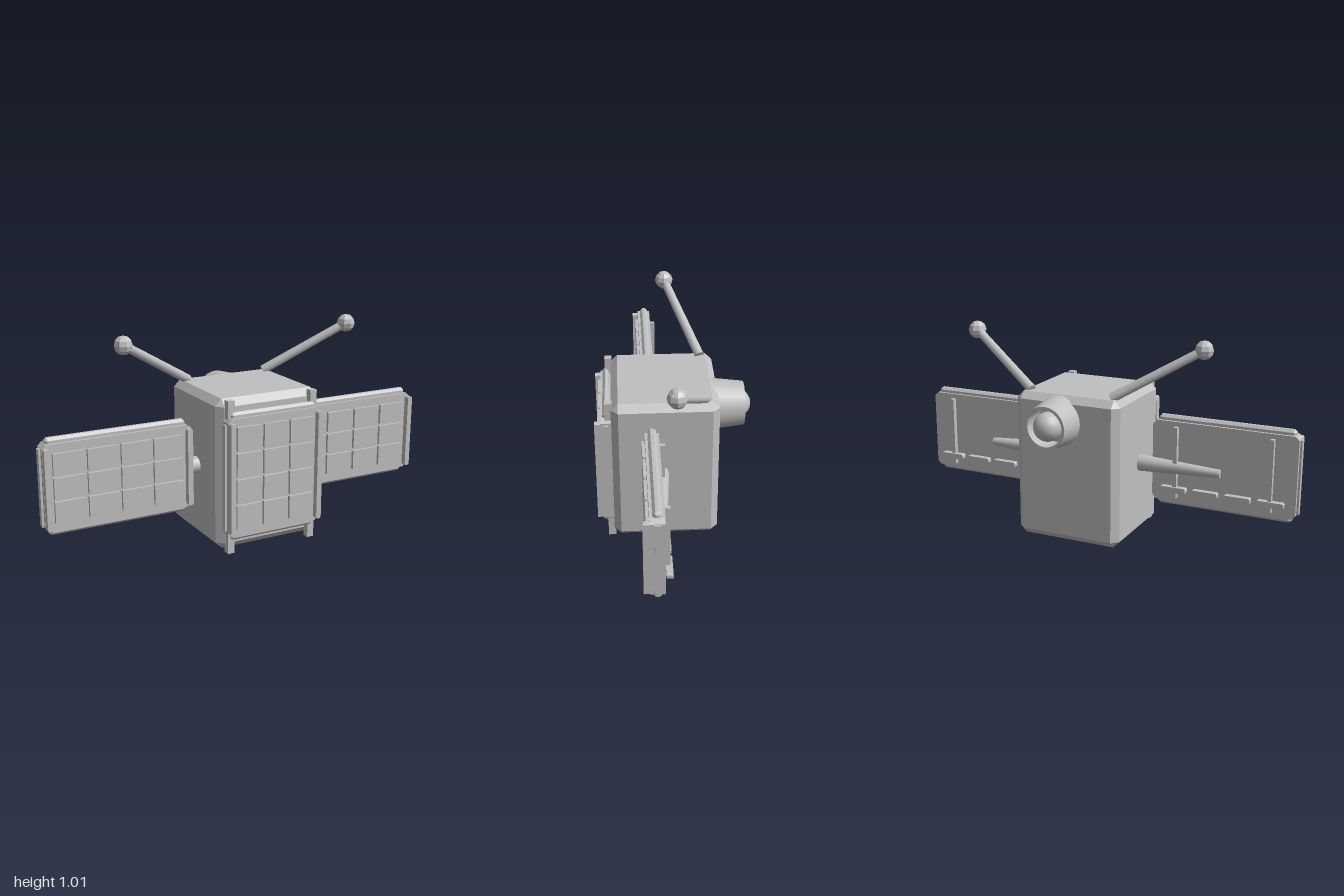
import * as THREE from 'three';
import { ConvexGeometry } from 'three/addons/geometries/ConvexGeometry.js';

const grey = new THREE.MeshStandardMaterial({ color: 0xc0c0c0 });
grey.name = 'satellite grey';

function add(parent, name, geometry, x = 0, y = 0, z = 0) {
  const mesh = new THREE.Mesh(geometry, grey);
  mesh.name = name;
  mesh.position.set(x, y, z);
  parent.add(mesh);
  return mesh;
}

const box = (w, h, d) => new THREE.BoxGeometry(w, h, d);

// Box with every edge cut at 45 degrees
function chamferBox(w, h, d, c) {
  const points = [];
  for (const x of [-1, 1]) for (const y of [-1, 1]) for (const z of [-1, 1]) {
    const a = x * w / 2, b = y * h / 2, e = z * d / 2;
    points.push(
      new THREE.Vector3(a, b - y * c, e - z * c),
      new THREE.Vector3(a - x * c, b, e - z * c),
      new THREE.Vector3(a - x * c, b - y * c, e));
  }
  return new ConvexGeometry(points);
}

// Slab with clipped corners, centred on the origin
function clippedSlab(w, h, d, c) {
  const x = w / 2, y = h / 2;
  const shape = new THREE.Shape([
    [-x + c, -y], [x - c, -y], [x, -y + c], [x, y - c],
    [x - c, y], [-x + c, y], [-x, y - c], [-x, -y + c],
  ].map(([a, b]) => new THREE.Vector2(a, b)));
  return new THREE.ExtrudeGeometry(shape, { depth: d, bevelEnabled: false }).translate(0, 0, -d / 2);
}

// Tapered rod between two points
function rod(parent, name, from, to, r0, r1, sides) {
  const a = new THREE.Vector3(...from), b = new THREE.Vector3(...to);
  const dir = b.clone().sub(a);
  const mesh = add(parent, name, new THREE.CylinderGeometry(r1, r0, dir.length(), sides));
  mesh.position.copy(a).add(b).multiplyScalar(0.5);
  mesh.quaternion.setFromUnitVectors(new THREE.Vector3(0, 1, 0), dir.normalize());
  return mesh;
}

// Framed panel with a grid of cells; its front plate surface lies on z = 0
function solarPanel(name, w, h, depth, cols, rows, cellW, cellH, postH) {
  const g = new THREE.Group();
  g.name = name;
  add(g, 'panelPlate', clippedSlab(w, h, depth, 0.018), 0, 0, -depth / 2);
  // Narrow tapered rails along the top and bottom
  for (const s of [-1, 1]) {
    add(g, 'edgeRail', chamferBox(w - 0.04, 0.05, depth * 0.6, 0.012), 0, s * (h / 2), -depth / 2);
    add(g, 'endPost', clippedSlab(0.026, postH, 0.028, 0.006), s * (w / 2 - 0.014), 0, 0.014);
    add(g, 'endRail', box(0.02, h * 0.9, depth * 0.45), s * (w / 2), 0, -depth / 2);
  }
  // Cells
  const px = cellW / cols, py = cellH / rows, gap = 0.012;
  for (let i = 0; i < cols; i++) for (let j = 0; j < rows; j++) {
    add(g, 'solarCell', box(px - gap, py - gap, 0.016),
      (i - (cols - 1) / 2) * px, (j - (rows - 1) / 2) * py, 0.006);
  }
  return g;
}

export function createModel() {
  const model = new THREE.Group();
  model.name = 'satellite';
  const cx = 0.06;

  // Main body
  add(model, 'body', chamferBox(0.54, 0.725, 0.497, 0.033), cx, 0.3725, 0.0425);

  // Front panel on two upright brackets
  for (const s of [-1, 1]) {
    add(model, 'panelBracket', box(0.034, 0.735, 0.035), cx + s * 0.218, 0.3675, 0.302);
  }
  const front = solarPanel('frontPanel', 0.49, 0.565, 0.05, 3, 4, 0.42, 0.5, 0.53);
  front.position.set(cx, 0.374, 0.34);
  add(front, 'backingPlate', box(0.46, 0.53, 0.025), 0, 0, -0.055);
  model.add(front);

  // Side wings
  for (const s of [-1, 1]) {
    const wing = solarPanel(s > 0 ? 'leftWing' : 'rightWing', 0.71, 0.4, 0.065, 4, 3, 0.635, 0.33, 0.37);
    wing.position.set(s * 0.63, 0.398, 0.14);
    model.add(wing);
    // Braces behind the wing
    for (const x of [-0.235, 0.235]) {
      add(wing, 'backPost', box(0.02, 0.355, 0.024), s * x, 0, -0.078);
    }
    for (let i = 0; i < 4; i++) {
      add(wing, 'backStrip', clippedSlab(0.13, 0.028, 0.03, 0.006), (i - 1.5) * 0.16, -0.133, -0.085);
    }
    // Tapered support arm
    rod(model, 'wingArm', [s > 0 ? 0.3 : -0.19, 0.373, 0.068], [s * 0.62, 0.373, 0.068], 0.042, 0.02, 16);
  }

  // Antennas with ball tips
  for (const s of [-1, 1]) {
    const tip = [cx + s * 0.603, 0.97, 0.01];
    rod(model, 'antennaRod', [cx + s * 0.21, 0.738, -0.145], tip, 0.023, 0.021, 12);
    const ball = new THREE.SphereGeometry(0.045, 8, 6).toNonIndexed();
    ball.computeVertexNormals();
    add(model, 'antennaBall', ball, ...tip);
  }

  // Rear hollow horn with a domed core
  const profile = [[0.122, 0], [0.104, 0.155], [0.09, 0.155], [0.1, 0.02], [0, 0.02]];
  profile.forEach((p, i) => {
    if (i === profile.length - 1) return;
    const points = [p, profile[i + 1]].map(([r, y]) => new THREE.Vector2(r, y));
    const wall = add(model, 'rearHorn', new THREE.LatheGeometry(points.reverse(), 24), 0.1, 0.61, -0.18);
    wall.rotation.x = -Math.PI / 2;
    wall.material = hornGrey;
  });
  add(model, 'hornCore', new THREE.SphereGeometry(0.07, 16, 12), 0.1, 0.61, -0.3);
  rod(model, 'hornStem', [0.1, 0.61, -0.19], [0.1, 0.61, -0.28], 0.03, 0.03, 12);

  return model;
}

// Same grey, drawn on both sides for the open horn
const hornGrey = new THREE.MeshStandardMaterial({ color: 0xc0c0c0, side: THREE.DoubleSide });
hornGrey.name = 'horn grey';
